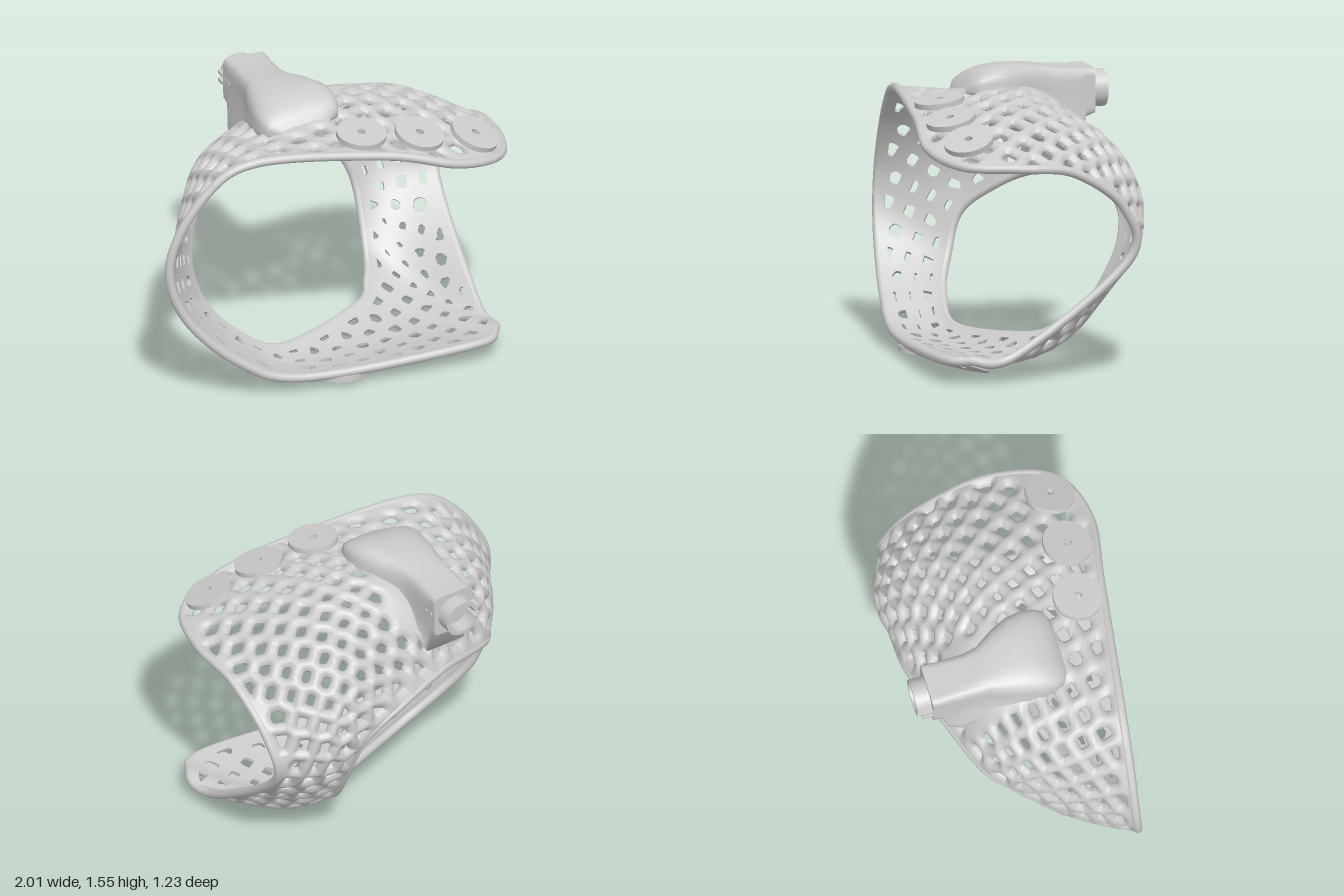
import * as THREE from 'three';

const V = (x, y, z) => new THREE.Vector3(x, y, z);
const material = new THREE.MeshStandardMaterial({ color: 0xcccccc, side: THREE.DoubleSide });
const loop = points => new THREE.CatmullRomCurve3(points, true, 'catmullrom', 0.5);

// Stations round the shell: front rim point, back-opening rim point, outward bulge between them
const stations = [
  [.90, .62, -.43, .47, .58, -.50, .03], [.94, .93, -.39, .42, .75, -.55, .085],
  [.97, 1.14, -.10, .33, .83, -.56, .165], [.98, 1.18, .20, .20, .90, -.56, .24],
  [.88, 1.19, .49, .06, .94, -.53, .29], [.60, 1.24, .60, -.08, .96, -.49, .31],
  [.20, 1.34, .54, -.20, .96, -.45, .27], [-.50, 1.39, .43, -.50, .89, -.32, .145],
  [-.80, 1.22, .39, -.63, .80, -.17, .065], [-.99, .86, .37, -.73, .65, 0, .012],
  [-.92, .52, .40, -.69, .43, .08, .012], [-.62, .21, .46, -.53, .24, .16, .01],
  [-.25, .07, .51, -.25, .10, .17, .03], [.65, .10, .57, .28, .13, -.06, .065],
  [.86, .11, .46, .40, .20, -.20, .075], [.88, .135, .19, .46, .33, -.36, .06],
];
const frontEdge = loop(stations.map(s => V(s[0], s[1], s[2])));
const backEdge = loop(stations.map(s => V(s[3], s[4], s[5])));
const bulge = loop(stations.map((s, i) => {
  const u = i / stations.length;
  const along = frontEdge.getTangent(u).add(backEdge.getTangent(u));
  return backEdge.getPoint(u).sub(frontEdge.getPoint(u)).cross(along).setLength(s[6]);
}));

// Point on the shell: straight from rim to rim, arched outward by the bulge
function surface(u, v) {
  const uu = ((u % 1) + 1) % 1;
  return frontEdge.getPoint(uu).lerp(backEdge.getPoint(uu), v)
    .addScaledVector(bulge.getPoint(uu), 4.5 * v * (1 - v) * (0.6 + 0.8 * v));
}
function normalAt(u, v) {
  const e = 0.002, du = surface(u + e, v).sub(surface(u - e, v));
  const dv = surface(u, v + e).sub(surface(u, v - e));
  return dv.cross(du).normalize();
}
function widthAt(u) {
  let len = 0;
  for (let i = 0; i < 8; i++) len += surface(u, i / 8).distanceTo(surface(u, (i + 1) / 8));
  return len;
}

// Staggered hole centres, leaving the area below the mount solid
function holeCentres() {
  const seeds = [], columns = 42;
  const middle = loop(stations.map((s, i) => surface(i / stations.length, 0.4)));
  for (let i = 0; i < columns; i++) {
    const u = middle.getUtoTmapping(i / columns), len = widthAt(u), margin = 0.035 / len;
    const n = Math.max(3, Math.round(len / 0.137));
    for (let j = 0; j < n; j++) {
      const jitter = 0.05 * Math.sin(i * 7.3 + j * 4.1);
      const p = surface(u, margin + (1 - 2 * margin) * (j + 0.5 + (i % 2 ? 0.24 : -0.24) + jitter) / n);
      if (!(Math.abs(p.x + 0.13) < 0.23 && p.z < 0.2 && p.z > -0.4 && p.y > 1.1)) seeds.push(p);
    }
  }
  return seeds;
}

function geometry(positions, index) {
  const g = new THREE.BufferGeometry();
  g.setAttribute('position', new THREE.Float32BufferAttribute(positions.flatMap(p => [p.x, p.y, p.z]), 3));
  g.setIndex(index);
  g.computeVertexNormals();
  return g;
}

// Perforated shell: a fine grid clipped by a cell pattern, with thickness and hole walls
function buildShell(add) {
  const NU = 400, NV = 62, strut = 0.036, thick = 0.042, seeds = holeCentres();
  const verts = [];
  const solidity = (p, rimDistance) => {
    let near = null, d1 = Infinity;
    for (const s of seeds) {
      const d = p.distanceToSquared(s);
      if (d < d1) { d1 = d; near = s; }
    }
    let f = Math.max(Math.sqrt(d1) - 0.043, 0.05 - rimDistance);
    for (const s of seeds) {
      const gap = s.distanceToSquared(near);
      if (s === near || gap > 0.12) continue;
      f = Math.max(f, strut - (p.distanceToSquared(s) - d1) / (2 * Math.sqrt(gap)));
    }
    return f;
  };
  for (let i = 0; i < NU; i++) {
    const u = i / NU, len = widthAt(u);
    for (let j = 0; j <= NV; j++) {
      const v = j / NV, p = surface(u, v);
      verts.push({ p, n: normalAt(u, v), f: solidity(p, Math.min(v, 1 - v) * len) });
    }
  }
  const cuts = new Map();
  const cut = (a, b) => {
    if (a > b) [a, b] = [b, a];
    const key = a + '_' + b;
    if (!cuts.has(key)) {
      const A = verts[a], B = verts[b], t = A.f / (A.f - B.f);
      cuts.set(key, verts.push({ p: A.p.clone().lerp(B.p, t), n: A.n.clone().lerp(B.n, t).normalize(), f: 0 }) - 1);
    }
    return cuts.get(key);
  };
  const faces = [], walls = [];
  const clip = tri => {
    const poly = [];
    let exit = -1, entry = -1;
    tri.forEach((a, k) => {
      const b = tri[(k + 1) % 3], inA = verts[a].f > 0, inB = verts[b].f > 0;
      if (inA) poly.push(a);
      if (inA !== inB) {
        const c = cut(a, b);
        poly.push(c);
        if (inA) exit = c; else entry = c;
      }
    });
    for (let k = 1; k + 1 < poly.length; k++) faces.push([poly[0], poly[k], poly[k + 1]]);
    if (exit >= 0) walls.push([exit, entry]);
  };
  for (let i = 0; i < NU; i++) for (let j = 0; j < NV; j++) {
    const a = i * (NV + 1) + j, b = ((i + 1) % NU) * (NV + 1) + j;
    clip([a, a + 1, b + 1]);
    clip([a, b + 1, b]);
  }
  const outer = verts.map(({ p, n, f }) =>
    p.clone().addScaledVector(n, -0.024 * (1 - THREE.MathUtils.clamp(f / strut, 0, 1)) ** 2));
  const inner = verts.map(({ p, n }) => p.clone().addScaledVector(n, -thick));
  const N = verts.length;
  add('perforatedShell', geometry([...outer, ...inner],
    [...faces.flat(), ...walls.flatMap(([p, q]) => [q, p, p + N, q, p + N, q + N])]));
  add('shellLining', geometry(inner, faces.flatMap(([a, b, c]) => [a, c, b])));
}

// Rolled rim along one edge of the shell
function rim(v) {
  const pts = [];
  for (let i = 0; i < 120; i++) pts.push(surface(i / 120, v).addScaledVector(normalAt(i / 120, v), -0.018));
  return new THREE.TubeGeometry(loop(pts), 300, 0.025, 10, true);
}

// Flat ring, optionally split on its -x side, extruded along +z
function ring(outer, inner, depth, gap = 0) {
  const s = new THREE.Shape();
  s.absarc(0, 0, outer, -Math.PI + gap, Math.PI - gap, false);
  if (gap) s.absarc(0, 0, inner, Math.PI - gap, -Math.PI + gap, true);
  else s.holes.push(new THREE.Path().absarc(0, 0, inner, 0, Math.PI * 2, true));
  return new THREE.ExtrudeGeometry(s, { depth, bevelEnabled: false, curveSegments: 40 });
}

// Mount body lofted along z and draped on the shell: [z, half width, bottom y, top y, squareness, flare]
function mountBody() {
  const sections = [
    [.21, .14, 1.38, 1.43, 2.5, 0], [.18, .20, 1.36, 1.475, 3, .05], [.13, .22, 1.34, 1.51, 3, .1],
    [.06, .225, 1.32, 1.535, 3, .15], [-.02, .215, 1.3, 1.545, 3, .2], [-.12, .185, 1.25, 1.54, 3.5, .3],
    [-.22, .135, 1.2, 1.525, 5, .5], [-.30, .122, 1.15, 1.51, 8, .5], [-.38, .12, 1.09, 1.505, 12, .35],
    [-.45, .12, 1.11, 1.5, 14, .1], [-.48, .12, 1.24, 1.5, 16, 0], [-.53, .12, 1.26, 1.5, 16, 0]];
  const roof = [];
  for (let i = 0; i <= 60; i++) for (let j = 0; j <= 60; j++) roof.push(surface(0.25 + i / 240, j / 60));
  const roofHeight = (x, z) => {
    let best = roof[0], near = Infinity;
    for (const p of roof) {
      const d = (p.x - x) ** 2 + (p.z - z) ** 2;
      if (d < near) { near = d; best = p; }
    }
    return best.y;
  };
  const M = 48, pts = [], index = [];
  for (const [z, hw, y0, y1, n, flare] of sections) for (let k = 0; k < M; k++) {
    const a = (k + 0.5) / M * Math.PI * 2, c = Math.cos(a), s = Math.sin(a);
    const r = (Math.abs(c) ** n + Math.abs(s) ** n) ** (-1 / n);
    const low = Math.max(0, 0.3 - r * s) / 1.3;
    const centre = -0.125 - 0.035 * THREE.MathUtils.smoothstep(-z, 0, 0.3);
    const x = centre + hw * r * c * (1 + flare * low * low);
    const tilt = 0.12 * (x - centre) * THREE.MathUtils.smoothstep(z, -0.3, 0);
    const y = (y0 + y1) / 2 + (y1 - y0) / 2 * r * s + tilt;
    pts.push(V(x, Math.max(y, roofHeight(x, z) - 0.02), z));
  }
  const last = sections.length - 1;
  for (let i = 0; i < last; i++) for (let k = 0; k < M; k++) {
    const a = i * M + k, b = i * M + (k + 1) % M;
    index.push(a, a + M, b, b, a + M, b + M);
  }
  // Separate end cap keeps the rear edge crisp
  const cap = pts.length;
  for (let k = 0; k < M; k++) pts.push(pts[last * M + k].clone());
  for (let k = 1; k + 1 < M; k++) index.push(cap, cap + k + 1, cap + k);
  return geometry(pts, index);
}

export function createModel() {
  const model = new THREE.Group();
  const add = (name, geo, x = 0, y = 0, z = 0) => {
    const mesh = new THREE.Mesh(geo, material);
    mesh.name = name;
    mesh.position.set(x, y, z);
    model.add(mesh);
    return mesh;
  };
  buildShell(add);
  add('frontRim', rim(0));
  add('backOpeningRim', rim(1));

  // Round pads above and below the front edge: centre of face, then face direction
  const pads = [
    [[.12, 1.415, .39], [.03, .98, .15]], [[.44, 1.37, .43], [.15, .95, .24]], [[.76, 1.305, .43], [.3, .9, .28]],
    [[-.02, .035, .43], [0, -1, .05]], [[.33, .04, .43], [.05, -.96, .28]], [[.68, .065, .43], [.18, -.94, .28]]];
  for (const [c, d] of pads) {
    const n = V(...d).normalize();
    const pad = add('roundPad', ring(0.133, 0.022, 0.03));
    pad.quaternion.setFromUnitVectors(V(0, 0, 1), n);
    pad.position.set(...c).addScaledVector(n, -0.03);
  }

  // Mount with split clamp collar, ears and screws
  add('mountBody', mountBody());
  add('clampCollar', ring(0.1, 0.078, 0.085, 0.16), -.165, 1.375, -.61);
  for (const s of [-1, 1]) add('clampEar', new THREE.BoxGeometry(.035, .016, .06), -.267, 1.375 + s * .023, -.56);
  for (const x of [-.28, -.04]) for (const z of [-.45, -.495]) {
    add('screw', new THREE.CylinderGeometry(.012, .012, .008, 16), x, 1.385, z).rotation.z = Math.PI / 2;
  }
  return model;
}
